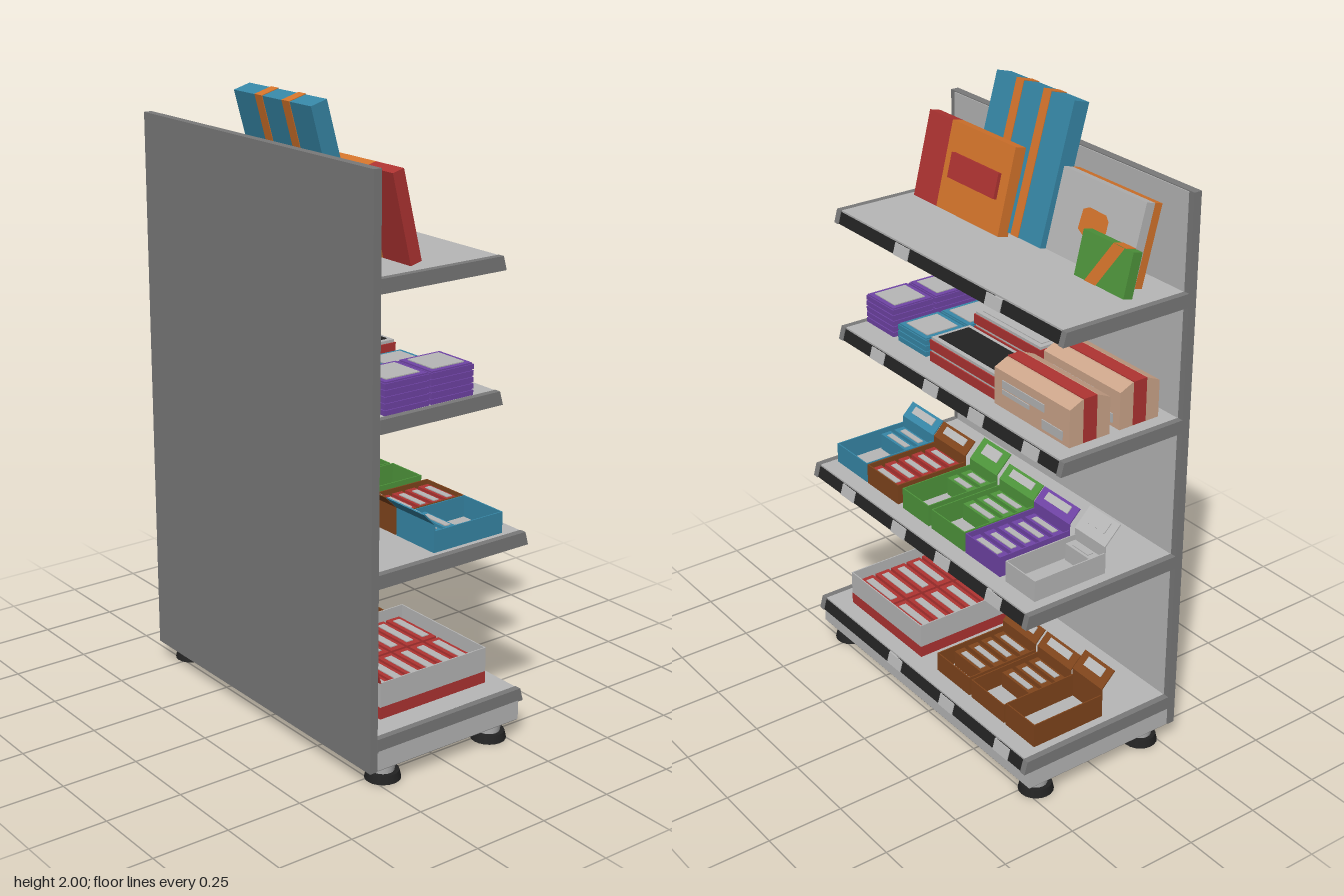
import * as THREE from 'three';

const mat = (name, color, side = THREE.FrontSide) => {
  const m = new THREE.MeshStandardMaterial({ color, side });
  m.name = name;
  return m;
};

export function createModel() {
  const M = {
    frame: mat('frame grey', 0x7a7a7a), light: mat('light grey', 0xb8b8b8),
    black: mat('black', 0x232323), blue: mat('blue', 0x3788a8),
    red: mat('red', 0xb03432), orange: mat('orange', 0xd6752c, THREE.DoubleSide),
    green: mat('green', 0x4f963c), purple: mat('purple', 0x7044a6),
    brown: mat('brown', 0x80451c), tan: mat('tan', 0xcfa78c),
  };
  const root = new THREE.Group();
  root.name = 'storeShelf';

  const group = (name, parent = root) => {
    const g = new THREE.Group();
    g.name = name;
    parent.add(g);
    return g;
  };
  const mesh = (parent, name, m, geo) => {
    const o = new THREE.Mesh(geo, m);
    o.name = name;
    parent.add(o);
    return o;
  };
  // Box given by its limits on each axis
  const box = (p, name, m, x0, x1, y0, y1, z0, z1) => {
    const o = mesh(p, name, m, new THREE.BoxGeometry(x1 - x0, y1 - y0, z1 - z0));
    o.position.set((x0 + x1) / 2, (y0 + y1) / 2, (z0 + z1) / 2);
    return o;
  };
  // Outline in x,y extruded from z0 to z1
  const prism = (p, name, m, pts, z0, z1) => {
    const s = new THREE.Shape(pts.map(([x, y]) => new THREE.Vector2(x, y)));
    const o = mesh(p, name, m, new THREE.ExtrudeGeometry(s, { depth: z1 - z0, bevelEnabled: false }));
    o.position.z = z0;
    return o;
  };

  // Back wall with a light inner face
  const wall = group('backWall');
  box(wall, 'backPanel', M.frame, -0.3, -0.273, 0.06, 1.853, -0.577, 0.577);
  box(wall, 'innerPanel', M.light, -0.274, -0.27, 0.08, 1.85, -0.555, 0.555);

  // Base and feet
  box(root, 'base', M.light, -0.27, 0.28, 0.063, 0.125, -0.577, 0.577);
  box(root, 'baseUnderside', M.frame, -0.268, 0.278, 0.06, 0.064, -0.575, 0.575);
  for (const x of [-0.208, 0.21]) for (const z of [-0.52, 0.52]) {
    const foot = group('foot');
    foot.position.set(x, 0, z);
    mesh(foot, 'footPad', M.black, new THREE.CylinderGeometry(0.05, 0.056, 0.026, 20)).position.y = 0.013;
    mesh(foot, 'footStem', M.light, new THREE.CylinderGeometry(0.042, 0.036, 0.038, 20)).position.y = 0.044;
  }

  // Shelves: top height, front edge, centres of the price tags
  const shelves = [
    [0.164, 0.283, [0.128, -0.162, -0.452]],
    [0.683, 0.283, [0.376, 0.087, -0.148, -0.41]],
    [1.148, 0.165, [0.36, 0.07, -0.164, -0.429]],
    [1.55, 0.165, [0.212, -0.25]],
  ];
  for (const [y, f, tags] of shelves) {
    const s = group('shelf');
    box(s, 'shelfBoard', M.light, -0.272, f, y - 0.012, y, -0.556, 0.556);
    box(s, 'shelfUnderside', M.frame, -0.272, f, y - 0.028, y - 0.012, -0.556, 0.556);
    const side = [[-0.272, y - 0.043], [f + 0.016, y - 0.043], [f + 0.004, y], [-0.272, y]];
    for (const z of [-0.577, 0.555]) prism(s, 'shelfBracket', M.frame, side, z, z + 0.022);
    const lip = d => [[f + 0.004 + d, y - 0.042], [f + 0.013 + d, y - 0.042], [f + 0.003 + d, y - 0.006], [f - 0.006 + d, y - 0.006]];
    prism(s, 'priceRail', M.black, lip(0), -0.555, 0.555);
    for (const z of tags) prism(s, 'priceTag', M.light, lip(0.003), z - 0.037, z + 0.037);
  }

  // Leaning boxes on the top shelf, pivoting on the lower back edge
  const leaning = (name, x, angle) => {
    const g = group(name);
    g.position.set(x, 1.55, 0);
    g.rotation.z = angle;
    return g;
  };
  let g = leaning('tallBlueBox', -0.172, 0.272);
  box(g, 'blueBody', M.blue, 0, 0.057, 0, 0.447, -0.09, 0.285);
  for (const z of [0.035, 0.167])
    box(g, 'orangeBand', M.orange, -0.002, 0.059, -0.001, 0.449, z - 0.018, z + 0.018);

  g = leaning('orangeBox', -0.118, 0.245);
  box(g, 'orangeBody', M.orange, 0, 0.04, 0, 0.277, 0.07, 0.39);
  box(g, 'redEnd', M.red, 0, 0.04, 0, 0.277, 0.39, 0.513);
  box(g, 'redLabel', M.red, 0.04, 0.052, 0.105, 0.185, 0.11, 0.35);

  g = leaning('paleBox', -0.188, 0.26);
  box(g, 'orangeBack', M.orange, 0, 0.028, 0, 0.252, -0.47, -0.1);
  box(g, 'paleFront', M.light, 0.028, 0.06, 0, 0.252, -0.47, -0.1);
  const blob = new THREE.Shape([[0.22, 0.1], [0.25, 0.085], [0.29, 0.085], [0.3, 0.1], [0.34, 0.12],
    [0.34, 0.155], [0.325, 0.17], [0.25, 0.172], [0.225, 0.16]].map(([a, b]) => new THREE.Vector2(a, b)));
  const motif = mesh(g, 'orangeMotif', M.orange, new THREE.ShapeGeometry(blob));
  motif.rotation.y = Math.PI / 2;
  motif.position.x = 0.063;

  g = leaning('smallGreenBox', -0.118, 0.24);
  box(g, 'greenBody', M.green, 0, 0.034, 0, 0.138, -0.51, -0.29);
  box(g, 'topStripe', M.orange, 0, 0.034, 0.138, 0.14, -0.48, -0.425);
  const band = new THREE.Shape([[0.34, 0], [0.39, 0], [0.475, 0.138], [0.425, 0.138]].map(([a, b]) => new THREE.Vector2(a, b)));
  const stripe = mesh(g, 'diagonalStripe', M.orange, new THREE.ShapeGeometry(band));
  stripe.rotation.y = Math.PI / 2;
  stripe.position.x = 0.037;

  // Stacks of flat packs on the third shelf
  const stack = (name, m, gapMat, x0, x1, z0, z1, count, step, top) => {
    const s = group(name);
    for (let i = 0; i < count; i++) {
      const y = 1.148 + i * step;
      box(s, 'pack', m, x0, x1, y, y + step * 0.78, z0, z1);
      box(s, 'packEdge', gapMat, x0 + 0.004, x1 - 0.004, y + step * 0.78, y + step, z0 + 0.004, z1 - 0.004);
    }
    const y = 1.148 + count * step;
    box(s, 'topLabel', top, x0 + 0.02, x1 - 0.02, y, y + 0.003, z0 + 0.02, z1 - 0.02);
  };
  for (const [x0, x1] of [[-0.24, -0.08], [-0.072, 0.085]]) {
    stack('purpleStack', M.purple, M.purple, x0, x1, 0.402, 0.555, 5, 0.0195, M.light);
    stack('blueStack', M.blue, M.blue, x0, x1, 0.222, 0.375, 3, 0.02, M.light);
  }
  stack('redStackBack', M.red, M.light, -0.24, -0.08, -0.145, 0.192, 3, 0.041, M.light);
  stack('redStackFront', M.red, M.light, -0.065, 0.09, -0.145, 0.192, 2, 0.041, M.black);

  // Tan parcels with rounded tops and a red band
  for (const x of [-0.157, 0.028]) {
    const p = group('tanParcel');
    prism(p, 'parcelBody', M.tan, [[x - 0.074, 1.148], [x + 0.074, 1.148], [x + 0.074, 1.268],
      [x + 0.03, 1.288], [x - 0.03, 1.288], [x - 0.074, 1.268]], -0.515, -0.16);
    box(p, 'redBand', M.red, x - 0.024, x + 0.024, 1.15, 1.291, -0.517, -0.158);
    for (const [y0, y1, z0, z1] of [[1.215, 1.24, -0.4, -0.2], [1.195, 1.21, -0.33, -0.2], [1.16, 1.19, -0.485, -0.39]])
      box(p, 'parcelLabel', M.light, x + 0.074, x + 0.077, y0, y1, z0, z1);
  }

  // Open display carton: thin walls, hinged lid with label, rows of packs
  const carton = (name, m, y, z0, z1, h, rise, packMat, xs) => {
    const c = group(name), t = 0.004, x0 = -0.04, x1 = 0.226;
    box(c, 'frontWall', m, x1 - t, x1, y, y + h, z0, z1);
    box(c, 'rearWall', m, x0, x0 + t, y, y + h + 0.022, z0, z1);
    box(c, 'sideWall', m, x0, x1, y, y + h, z0, z0 + t);
    box(c, 'sideWall', m, x0, x1, y, y + h, z1 - t, z1);
    const lid = group('lid', c), len = (rise - 0.022) * 1.41;
    lid.position.set(x0 + t, y + h + 0.022, 0);
    lid.rotation.z = Math.PI / 4;
    box(lid, 'lidPanel', m, -t, 0, 0, len, z0, z1);
    box(lid, 'lidLabel', M.light, 0, 0.003, len * 0.4, len * 0.85, z0 + 0.03, z1 - 0.03);
    for (const x of xs) {
      box(c, 'pack', packMat, x - 0.019, x + 0.019, y, y + h - 0.012, z0 + 0.012, z1 - 0.012);
      box(c, 'packLabel', M.light, x - 0.01, x + 0.01, y + h - 0.012, y + h - 0.009, z0 + 0.035, z1 - 0.035);
    }
  };
  const row = n => Array.from({ length: n }, (_, i) => -0.01 + i * 0.0525);
  carton('blueCarton', M.blue, 0.683, 0.365, 0.54, 0.068, 0.063, M.blue, row(2));
  carton('brownCarton', M.brown, 0.683, 0.186, 0.36, 0.068, 0.063, M.red, row(5));
  carton('greenCarton', M.green, 0.683, 0.016, 0.158, 0.072, 0.08, M.green, row(2));
  carton('greenCarton', M.green, 0.683, -0.174, 0, 0.068, 0.063, M.green, row(3));
  carton('purpleCarton', M.purple, 0.683, -0.354, -0.18, 0.068, 0.063, M.purple, row(5));
  carton('paleCarton', M.light, 0.683, -0.523, -0.381, 0.07, 0.08, M.light, row(1));
  carton('brownCarton', M.brown, 0.164, -0.195, -0.021, 0.066, 0.062, M.brown, row(4));
  carton('brownCarton', M.brown, 0.164, -0.376, -0.206, 0.066, 0.062, M.brown, row(3));
  carton('brownCarton', M.brown, 0.164, -0.529, -0.386, 0.08, 0.072, M.brown, []);

  // Large two-tone carton on the bottom shelf
  const big = group('largeCarton');
  for (const [m, y0, y1] of [[M.red, 0.164, 0.203], [M.light, 0.203, 0.283]]) {
    for (const x of [-0.187, 0.223]) box(big, 'endWall', m, x, x + 0.004, y0, y1, 0.07, 0.48);
    for (const z of [0.07, 0.476]) box(big, 'sideWall', m, -0.187, 0.227, y0, y1, z, z + 0.004);
  }
  const lid = group('largeLid', big);
  lid.position.set(-0.184, 0.283, 0);
  lid.rotation.z = 0.28;
  box(lid, 'lidPanel', M.red, -0.004, 0, 0, 0.114, 0.07, 0.48);
  for (const [y0, y1, z0, z1] of [[0.055, 0.078, 0.365, 0.46], [0.055, 0.078, 0.19, 0.345], [0.02, 0.045, 0.095, 0.245]])
    box(lid, 'lidLabel', M.light, 0, 0.003, y0, y1, z0, z1);
  for (let i = 0; i < 6; i++) for (const z of [0.082, 0.28]) {
    const x = -0.17 + i * 0.064;
    box(big, 'pack', M.red, x, x + 0.054, 0.164, 0.25, z, z + 0.188);
    box(big, 'packLabel', M.light, x + 0.014, x + 0.04, 0.25, 0.253, z + 0.02, z + 0.168);
  }
  return root;
}
